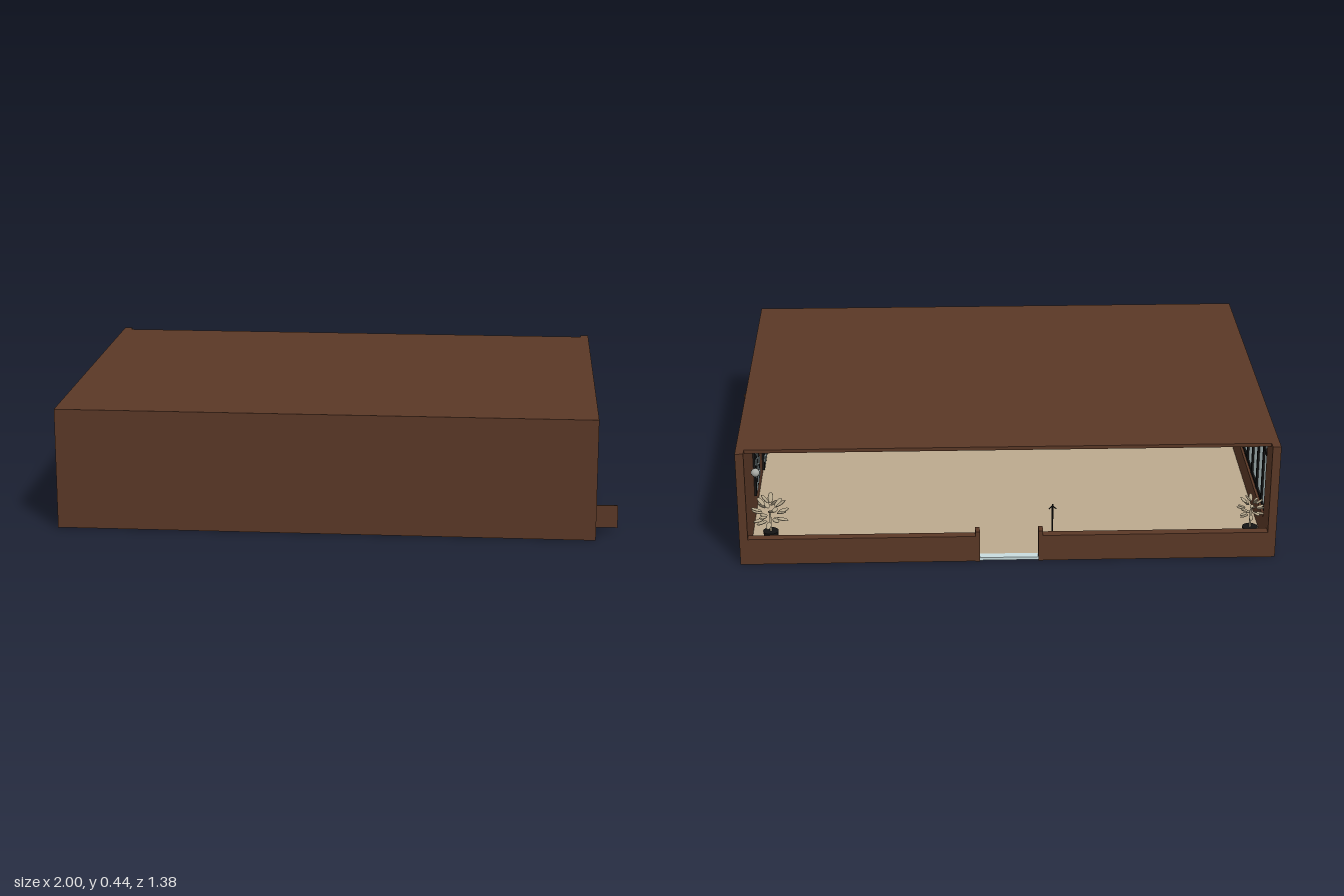
import * as THREE from 'three';

const mat = (name, color, extra = {}) => new THREE.MeshStandardMaterial({ name, color, ...extra });

export function createModel() {
  const model = new THREE.Group();
  const brown = mat('wall brown', 0x5a3826);
  const beige = mat('floor beige', 0xbcaa8e);
  const glass = mat('pale glass', 0xc8dcde);
  const black = mat('black metal', 0x141414);
  const cream = mat('leaf cream', 0xb5a78c, { side: THREE.DoubleSide });
  const lampGrey = mat('lamp grey', 0xa8aaa4);

  const add = (name, geo, material, x = 0, y = 0, z = 0, parent = model) => {
    const m = new THREE.Mesh(geo, material);
    m.name = name;
    m.position.set(x, y, z);
    parent.add(m);
    return m;
  };
  // box given by its limits on each axis
  const box = (name, material, x0, x1, y0, y1, z0, z1, parent = model) =>
    add(name, new THREE.BoxGeometry(x1 - x0, y1 - y0, z1 - z0), material,
      (x0 + x1) / 2, (y0 + y1) / 2, (z0 + z1) / 2, parent);

  // shell: floor, roof and solid walls
  box('floor', beige, -0.97, 0.89, 0.003, 0.012, -0.66, 0.66);
  box('roof', brown, -0.97, 0.89, 0.425, 0.438, -0.655, 0.66);
  box('frontWall', brown, -1, 0.92, 0, 0.438, 0.66, 0.69);
  box('leftWall', brown, 0.89, 0.92, 0, 0.438, -0.687, 0.66);

  // side wall with the large window opening
  const win = { z0: -0.57, z1: 0.15, y0: 0.1, y1: 0.41 };
  const wall = new THREE.Shape([[-0.687, 0], [0.66, 0], [0.66, 0.438], [-0.687, 0.438]]
    .map(p => new THREE.Vector2(...p)));
  wall.holes.push(new THREE.Path([[win.z0, win.y0], [win.z0, win.y1], [win.z1, win.y1], [win.z1, win.y0]]
    .map(p => new THREE.Vector2(...p))));
  add('windowWall', new THREE.ExtrudeGeometry(wall, { depth: 0.03, bevelEnabled: false }), brown, -0.97)
    .rotation.y = -Math.PI / 2;

  // window glass, mullions and rails
  const windowGroup = new THREE.Group();
  windowGroup.name = 'sideWindow';
  model.add(windowGroup);
  box('windowGlass', glass, -0.991, -0.985, win.y0, win.y1, win.z0, win.z1, windowGroup);
  for (let i = 0; i <= 6; i++) {
    const z = win.z0 + 0.006 + (win.z1 - win.z0 - 0.012) * i / 6;
    box('mullion', black, -0.998, -0.978, win.y0, win.y1, z - 0.008, z + 0.008, windowGroup);
  }
  for (const y of [win.y0 + 0.005, 0.325, win.y1 - 0.005])
    box('windowRail', black, -0.997, -0.979, y - 0.006, y + 0.006, win.z0, win.z1, windowGroup);

  // low wall along the open side, with an entrance
  box('lowWallRight', brown, -0.97, -0.147, 0, 0.1, -0.687, -0.655);
  box('lowWallLeft', brown, 0.063, 0.89, 0, 0.1, -0.687, -0.655);
  for (const x of [-0.155, 0.071]) box('entrancePost', brown, x - 0.008, x + 0.008, 0, 0.12, -0.69, -0.652);
  box('entranceSill', glass, -0.147, 0.063, 0.002, 0.013, -0.685, -0.655);

  // small panel standing out from the side wall
  box('sidePanel', brown, 0.92, 1, 0.018, 0.1, 0.586, 0.592);
  box('panelKnob', black, 0.935, 0.95, 0.055, 0.06, 0.582, 0.586);

  // service counter and cabinet along the front wall
  box('counterDark', black, 0.18, 0.5, 0.002, 0.12, 0.42, 0.47);
  box('counterPale', glass, -0.21, 0.18, 0.002, 0.12, 0.42, 0.47);
  box('counterReturn', glass, -0.21, -0.16, 0.002, 0.12, 0.47, 0.6);
  box('backCabinet', black, -0.2, 0.885, 0.002, 0.12, 0.61, 0.66);

  // paned panels on the inside of the left wall
  const panedPanel = (z0, z1, y0, y1) => {
    const g = new THREE.Group();
    g.name = 'panedPanel';
    model.add(g);
    box('panelFrame', black, 0.882, 0.89, y0, y1, z0, z1, g);
    const w = (z1 - z0) / 3, h = (y1 - y0) / 4;
    for (let i = 0; i < 3; i++) for (let j = 0; j < 4; j++)
      box('pane', glass, 0.879, 0.883, y0 + (j + 0.28) * h, y0 + (j + 0.72) * h,
        z0 + (i + 0.28) * w, z0 + (i + 0.72) * w, g);
  };
  panedPanel(-0.34, -0.16, 0.1, 0.3);
  panedPanel(0.04, 0.2, 0.02, 0.3);

  // wall lamp and ceiling lamps
  add('wallLamp', new THREE.SphereGeometry(0.016, 12, 8), lampGrey, 0.875, 0.24, -0.43);
  for (let i = 0; i < 5; i++) for (const z of [-0.43, 0, 0.43])
    add('ceilingLamp', new THREE.CylinderGeometry(0.012, 0.012, 0.008, 16), lampGrey, 0.56 - i * 0.333, 0.422, z);

  // slim stand beside the entrance
  const stand = new THREE.Group();
  stand.name = 'stand';
  stand.position.set(-0.2, 0, -0.62);
  model.add(stand);
  add('standBase', new THREE.CylinderGeometry(0.02, 0.02, 0.016, 20), black, 0, 0.009, 0, stand);
  add('standPole', new THREE.CylinderGeometry(0.003, 0.003, 0.18, 8), black, 0, 0.1, 0, stand);
  for (let i = 0; i < 4; i++) {
    const arm = new THREE.Group();
    arm.rotation.y = i * Math.PI / 2;
    stand.add(arm);
    add('standHook', new THREE.CylinderGeometry(0.002, 0.002, 0.02, 6), black, 0.006, 0.179, 0, arm)
      .rotation.z = 0.8;
  }

  // potted plants in the corners of the open side
  const leaf = new THREE.SphereGeometry(1, 8, 6);
  const plant = (x, z, r) => {
    const g = new THREE.Group();
    g.name = 'plant';
    g.position.set(x, 0.012, z);
    model.add(g);
    add('pot', new THREE.CylinderGeometry(0.028, 0.02, 0.07, 16), black, 0, 0.035, 0, g);
    add('stem', new THREE.CylinderGeometry(0.004, 0.004, 0.08, 6), cream, 0, 0.1, 0, g);
    for (let i = 0; i < 22; i++) {
      const a = i * 2.4, h = -0.8 + 1.75 * i / 21, s = Math.sqrt(1 - h * h);
      const m = add('leaf', leaf, cream, r * 0.75 * s * Math.cos(a), 0.145 + r * 0.8 * h, r * 0.75 * s * Math.sin(a), g);
      m.scale.set(r * 0.32, r * 0.07, r * 0.15);
      m.rotation.set(0, -a, 0.7 * h + 0.2);
    }
  };
  plant(0.815, -0.585, 0.068);
  plant(-0.918, -0.605, 0.05);

  return model;
}
